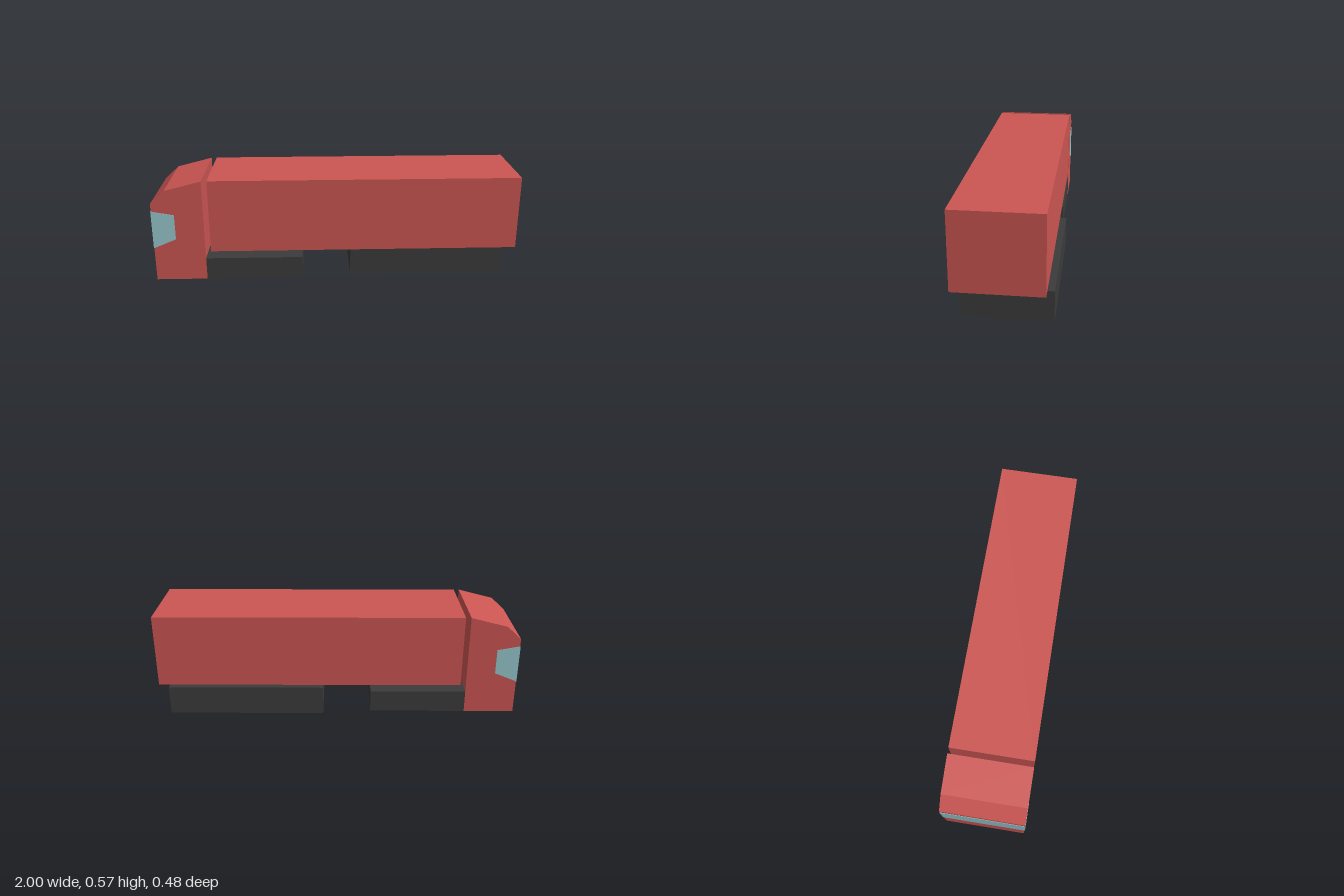
import * as THREE from 'three';

const material = (name, color) => {
  const m = new THREE.MeshStandardMaterial({ color });
  m.name = name;
  return m;
};

// Extrude a side profile (x, y points) from z0 to z1
function profile(name, points, z0, z1, mat) {
  const shape = new THREE.Shape(points.map(([x, y]) => new THREE.Vector2(x, y)));
  const geometry = new THREE.ExtrudeGeometry(shape, { depth: z1 - z0, bevelEnabled: false });
  geometry.translate(0, 0, z0);
  const mesh = new THREE.Mesh(geometry, mat);
  mesh.name = name;
  return mesh;
}

// Box given by its limits on each axis
function block(name, [x0, x1], [y0, y1], [z0, z1], mat) {
  const mesh = new THREE.Mesh(new THREE.BoxGeometry(x1 - x0, y1 - y0, z1 - z0), mat);
  mesh.position.set((x0 + x1) / 2, (y0 + y1) / 2, (z0 + z1) / 2);
  mesh.name = name;
  return mesh;
}

export function createModel() {
  const red = material('red paint', 0xcc5653);
  const dark = material('dark chassis', 0x3b3b3b);
  const glass = material('pale blue glass', 0x97c8cd);

  const truck = new THREE.Group();
  truck.name = 'truck';
  const back = -0.206, front = 0.241, t = 0.002;

  // Cab with sloped roof and brow
  const cab = new THREE.Group();
  cab.name = 'cab';
  cab.add(profile('cabBody',
    [[-0.998, 0], [-0.72, 0], [-0.72, 0.571], [-0.92, 0.52], [-0.998, 0.448]], back, front, red));

  // Side windows and windscreen as thin plates
  const pane = [[-1, 0.19], [-0.876, 0.241], [-0.876, 0.381], [-1, 0.405]];
  cab.add(profile('leftSideWindow', pane, front - t, front + t, glass));
  cab.add(profile('rightSideWindow', pane, back - t, back + t, glass));
  cab.add(block('windscreen', [-1, -0.996], [0.19, 0.405], [back, front], glass));
  truck.add(cab);

  // Cargo box
  truck.add(block('cargoBox', [-0.69, 1], [0.166, 0.572], [back, front], red));

  // Chassis blocks under the cab and the cargo box
  truck.add(block('frontChassis', [-0.72, -0.187], [0, 0.124], [back, front], dark));
  truck.add(block('rearChassis', [0.08, 0.938], [0.005, 0.166], [-0.241, 0.207], dark));

  return truck;
}
